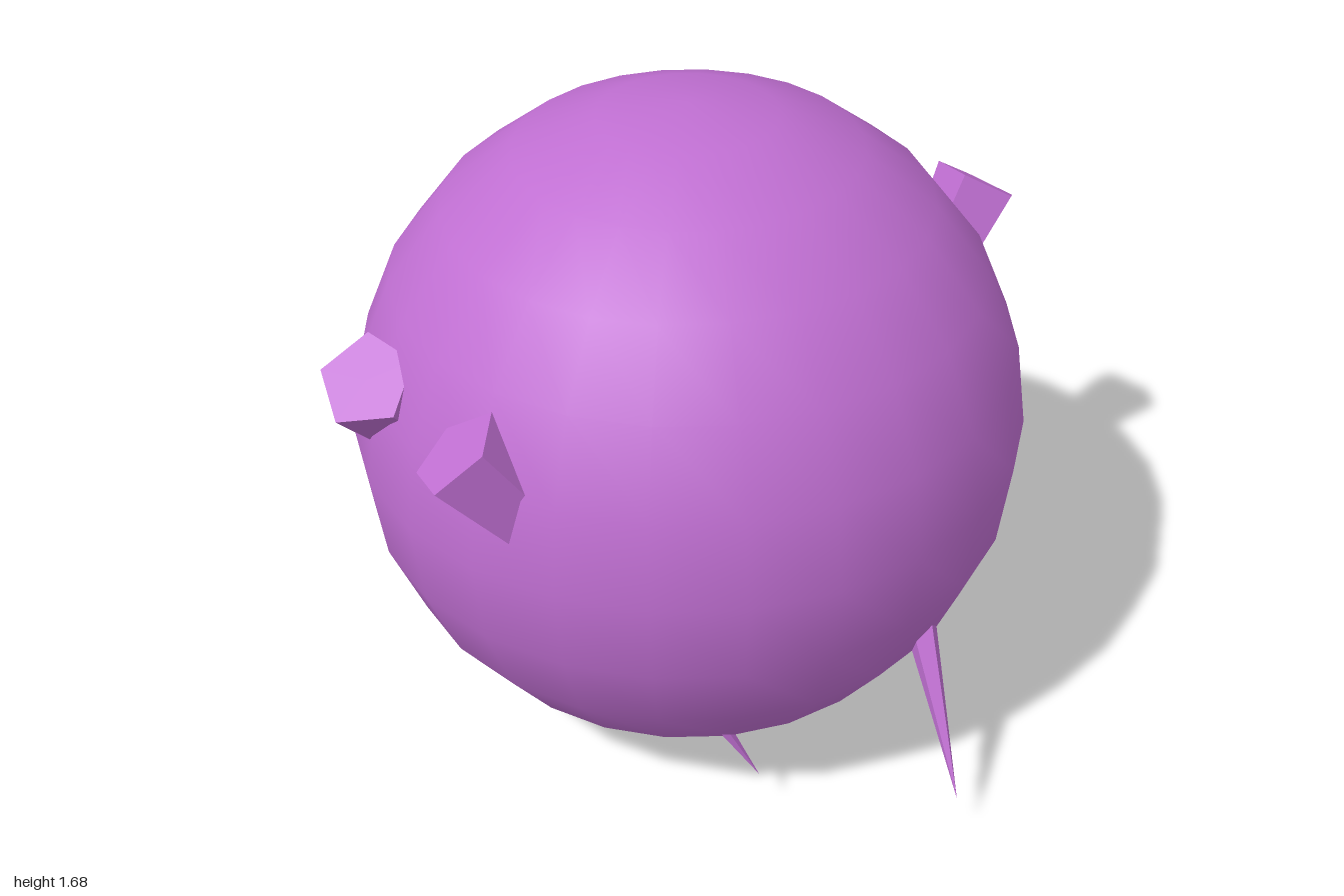
import * as THREE from 'three';

export function createModel() {
  const model = new THREE.Group();
  const purple = new THREE.MeshStandardMaterial({ color: 0xc06fd2 });
  const purpleFlat = new THREE.MeshStandardMaterial({ color: 0xc06fd2, flatShading: true });
  const grey = new THREE.MeshStandardMaterial({ color: 0xcccccc });

  function add(name, geometry, material, x, y, z) {
    const mesh = new THREE.Mesh(geometry, material);
    mesh.name = name;
    mesh.position.set(x, y, z);
    model.add(mesh);
    return mesh;
  }

  // Round body and the smaller ball set into its back
  add('body', new THREE.SphereGeometry(0.84, 24, 12), purple, -0.09, 0.845, 0);
  add('backBulge', new THREE.SphereGeometry(0.422, 24, 12), grey, -0.09, 0.95, -0.52);

  // Five-sided stubs, tapering into the body; origin at the centre of the outer cap
  const stubLength = 0.5;
  const stubGeometry = new THREE.CylinderGeometry(0.12, 0.065, stubLength, 5);
  stubGeometry.translate(0, -stubLength / 2, 0);
  const stubs = [
    ['leftStub', 0.9, 0.015, 0, -0.577],
    ['rightFrontStub', -0.9, 0.185, -0.39, 0.577],
    ['rightBackStub', -0.9, -0.185, 0.39, 0.577],
  ];
  for (const [name, x, z, tiltX, tiltZ] of stubs) {
    add(name, stubGeometry, purpleFlat, x, 1.155, z).rotation.set(tiltX, 0, tiltZ);
  }

  // Thin pointed spikes, mirrored front to back; origin at the tip
  const spikeLength = 0.6;
  const spikeGeometry = new THREE.ConeGeometry(0.056, spikeLength, 5);
  spikeGeometry.translate(0, -spikeLength / 2, 0);
  const spikes = [
    ['Spike', [-0.005, 0.12, 0.935], [-0.2, -1, 0.63]],
    ['SideSpike', [-0.325, 0.12, 0.56], [0.45, -1, 0.35]],
  ];
  const up = new THREE.Vector3(0, 1, 0);
  for (const side of [1, -1]) {
    for (const [name, tip, dir] of spikes) {
      const spike = add((side > 0 ? 'front' : 'back') + name, spikeGeometry, purpleFlat, tip[0], tip[1], tip[2] * side);
      const aim = new THREE.Vector3(dir[0], dir[1], dir[2] * side).normalize();
      spike.quaternion.setFromUnitVectors(up, aim);
    }
  }

  return model;
}
